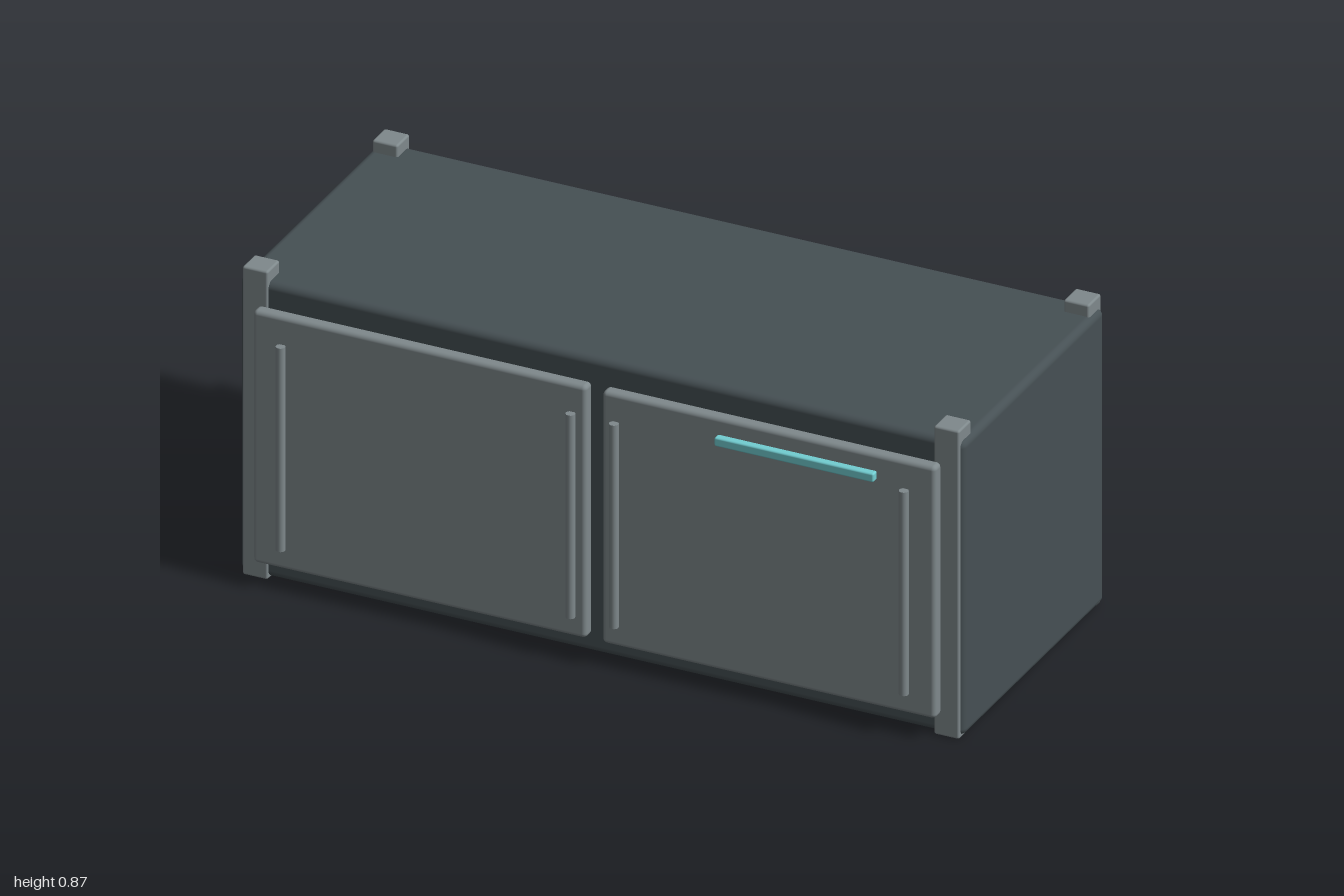
import * as THREE from 'three';
import { RoundedBoxGeometry } from 'three/addons/geometries/RoundedBoxGeometry.js';

export function createModel() {
  const group = new THREE.Group();
  const mat = (name, color) => Object.assign(new THREE.MeshStandardMaterial({ color }), { name });
  const dark = mat('dark steel', 0x465054);
  const grey = mat('grey steel', 0x7f898c);
  const teal = mat('teal light', 0x72ced2);

  const add = (name, geometry, material, x, y, z) => {
    const mesh = new THREE.Mesh(geometry, material);
    mesh.name = name;
    mesh.position.set(x, y, z);
    group.add(mesh);
  };

  // Main container shell
  add('body', new RoundedBoxGeometry(2, 0.83, 0.798, 3, 0.02), dark, 0, 0.42, -0.02);

  // Corner posts standing proud of the roof
  const post = new RoundedBoxGeometry(0.07, 0.868, 0.07, 2, 0.006);
  for (const x of [-0.954, 0.954])
    for (const z of [0.349, -0.386]) add('cornerPost', post, grey, x, 0.434, z);

  // Two front doors, each with a pair of locking bars
  const door = new RoundedBoxGeometry(0.92, 0.71, 0.038, 3, 0.012);
  const bar = new THREE.CylinderGeometry(0.0125, 0.0125, 0.573, 12);
  for (const side of [-1, 1]) {
    add('door', door, grey, side * 0.482, 0.418, 0.403);
    for (const x of [0.06, 0.86]) add('lockingBar', bar, grey, side * x, 0.409, 0.432);
  }

  // Light strip on the left door
  add('lightStrip', new RoundedBoxGeometry(0.44, 0.025, 0.022, 2, 0.005), teal, 0.562, 0.716, 0.433);

  // Vertical ribs along the back wall
  const rib = new THREE.BoxGeometry(0.024, 0.713, 0.03);
  for (let i = -5; i <= 5; i++) add('backRib', rib, grey, i * 0.164, 0.4215, -0.429);

  return group;
}
